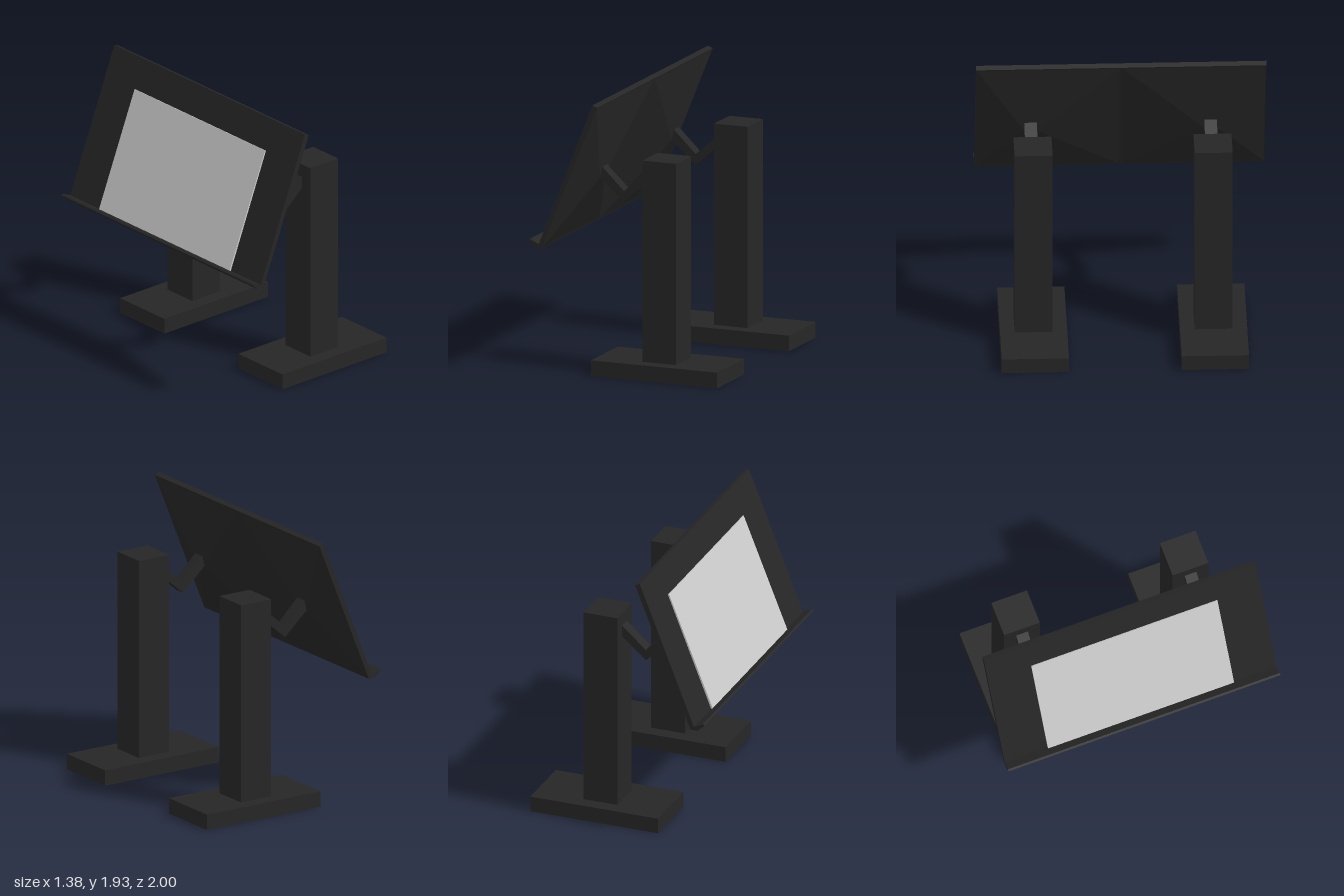
import * as THREE from 'three';
import { ConvexGeometry } from 'three/addons/geometries/ConvexGeometry.js';

const dark = new THREE.MeshStandardMaterial({ color: 0x262626, flatShading: true });
const grey = new THREE.MeshStandardMaterial({ color: 0xcccccc, flatShading: true });

function part(name, geometry, material = dark) {
  const mesh = new THREE.Mesh(geometry, material);
  mesh.name = name;
  return mesh;
}

// Side profile in x, y swept along z and centred on z = 0
function prism(points, depth) {
  const shape = new THREE.Shape(points.map(([x, y]) => new THREE.Vector2(x, y)));
  const geometry = new THREE.ExtrudeGeometry(shape, { depth, bevelEnabled: false });
  return geometry.translate(0, 0, -depth / 2);
}

function block(w, h, d, x, y) {
  return new THREE.BoxGeometry(w, h, d).translate(x, y, 0);
}

export function createModel() {
  const model = new THREE.Group();
  model.name = 'displayStand';
  const halfWidth = 0.992;
  const standZ = 0.615;

  // Tilted panel with a narrow lip along its bottom edge
  model.add(part('panel', prism([
    [-0.57, 0.9], [-0.16, 1.92], [-0.195, 1.935], [-0.594, 0.925],
    [-0.66, 0.958], [-0.672, 0.947], [-0.62, 0.9],
  ], halfWidth * 2)));

  // Screen lying on the front of the panel
  model.add(part('screen', prism([
    [-0.612, 0.915], [-0.59, 0.905], [-0.262, 1.725], [-0.284, 1.735],
  ], 1.358), grey));

  for (const side of [1, -1]) {
    // Shallow pyramid on the back of the panel, rising to the arm
    const corners = [];
    for (const z of [0, halfWidth]) {
      corners.push(new THREE.Vector3(-0.572, 0.9, side * z));
      corners.push(new THREE.Vector3(-0.162, 1.92, side * z));
    }
    for (const z of [standZ - 0.043, standZ + 0.043]) {
      corners.push(new THREE.Vector3(-0.282, 1.355, side * z));
      corners.push(new THREE.Vector3(-0.267, 1.434, side * z));
    }
    model.add(part('panelBack', new ConvexGeometry(corners)));

    // Stand: foot, post and bent arm
    const stand = new THREE.Group();
    stand.name = side > 0 ? 'leftStand' : 'rightStand';
    stand.position.z = side * standZ;
    stand.add(part('foot', block(0.94, 0.11, 0.46, 0.2, 0.055)));
    stand.add(part('post', block(0.25, 1.41, 0.26, 0.195, 0.815)));
    stand.add(part('arm', prism([
      [-0.29, 1.36], [-0.105, 1.195], [0.08, 1.355],
      [0.08, 1.435], [-0.105, 1.272], [-0.268, 1.43],
    ], 0.086)));
    model.add(stand);
  }

  // Slight turn about the vertical
  model.rotation.y = 0.0225;
  model.position.z = -0.011;
  const root = new THREE.Group();
  root.add(model);
  return root;
}
